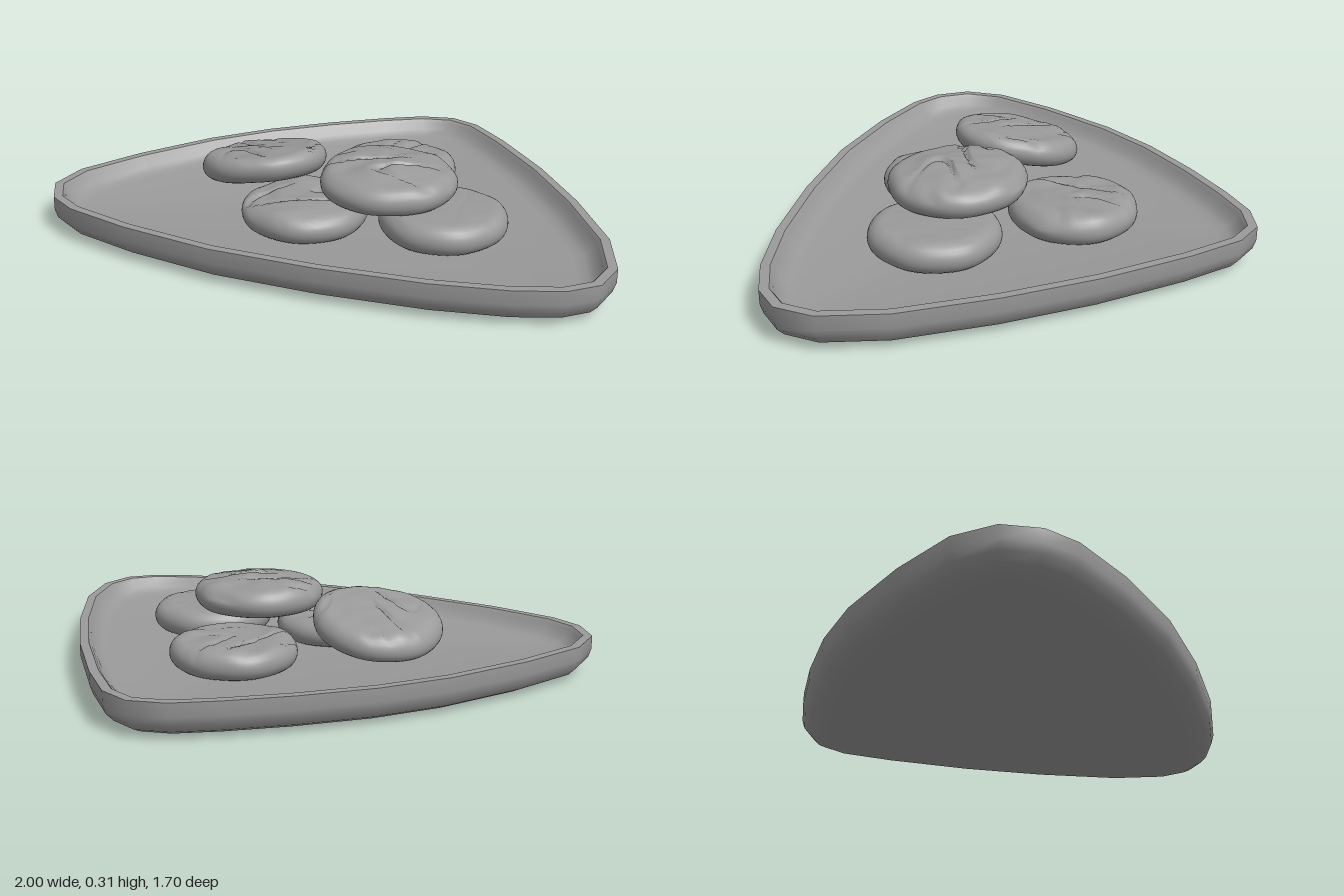
import * as THREE from 'three';
import { mergeVertices, toCreasedNormals } from 'three/addons/utils/BufferGeometryUtils.js';

const material = new THREE.MeshStandardMaterial({ color: 0x9a9a9a });

// Rounded-triangle outline of the tray, as (x, z)
const outline = [
  [-1, -0.03], [-0.93, -0.18], [-0.73, -0.36], [-0.46, -0.55], [-0.22, -0.67], [0.04, -0.76],
  [0.27, -0.82], [0.44, -0.85], [0.575, -0.83], [0.67, -0.74], [0.76, -0.54], [0.87, -0.22],
  [0.95, 0.11], [1, 0.45], [0.98, 0.68], [0.905, 0.8], [0.79, 0.845], [0.62, 0.845],
  [0.36, 0.8], [0, 0.695], [-0.36, 0.555], [-0.67, 0.38], [-0.89, 0.22], [-0.975, 0.11],
].map(([x, z]) => new THREE.Vector2(x, z));

// Moves the outline inwards by a distance, mitred at each corner
function insetOutline(distance) {
  const n = outline.length;
  const inward = (a, b) => {
    const t = b.clone().sub(a).normalize();
    return new THREE.Vector2(-t.y, t.x);
  };
  return outline.map((p, i) => {
    const n1 = inward(outline[(i + n - 1) % n], p);
    const n2 = inward(p, outline[(i + 1) % n]);
    const m = n1.clone().add(n2).normalize();
    return p.clone().addScaledVector(m, distance / m.dot(n1));
  });
}

function createTray() {
  // Wall section as (inset, height); null closes the section at the middle
  const section = [
    [null, 0], [0.11, 0], [0.07, 0.007], [0.035, 0.025], [0.01, 0.052], [0, 0.085], [0, 0.135],
    [0.032, 0.135], [0.042, 0.122], [0.056, 0.095], [0.085, 0.077], [0.12, 0.07], [null, 0.07],
  ];
  const n = outline.length;
  const positions = [];
  const index = [];
  section.forEach(([inset, y], j) => {
    const ring = inset === null ? outline.map(() => new THREE.Vector2(0.2, 0)) : insetOutline(inset);
    ring.forEach((p) => positions.push(p.x, y, p.y));
    if (j === 0) return;
    for (let i = 0; i < n; i++) {
      const a = (j - 1) * n + i;
      const b = (j - 1) * n + (i + 1) % n;
      if (section[j - 1][0] !== null) index.push(a, a + n, b);
      if (inset !== null) index.push(b, a + n, b + n);
    }
  });
  const geometry = new THREE.BufferGeometry();
  geometry.setAttribute('position', new THREE.Float32BufferAttribute(positions, 3));
  geometry.setIndex(index);
  const tray = new THREE.Mesh(toCreasedNormals(geometry, 0.8), material);
  tray.name = 'tray';
  return tray;
}

// Lumpy top: swells, small dimples and a few winding cracks, turned by the seed
function lumps(px, pz, seed) {
  const x = px * Math.cos(seed) - pz * Math.sin(seed);
  const z = px * Math.sin(seed) + pz * Math.cos(seed);
  const swell = Math.sin(11 * x + seed + 1.5 * Math.sin(13 * z + seed)) * Math.cos(14 * z - 2 * seed);
  const dimple = Math.sin(31 * x + 2 * Math.sin(17 * z + seed)) * Math.sin(27 * z + 2 * Math.sin(19 * x));
  const winding = Math.sin(9 * x + 8 * z + seed * 3 + 2.2 * Math.sin(15 * z - 11 * x + seed));
  const fade = Math.sin(16 * x - 13 * z + seed * 5) * 0.5 + 0.5;
  const crack = Math.max(0, 1 - Math.abs(winding) * 2.5) * fade;
  return 0.008 * swell + 0.003 * dimple - 0.018 * crack;
}

function createCookie({ name, x, y, z, radius, height, seed, dome = 0.008, bump = 1, slopeX = 0, slopeZ = 0 }) {
  const h = height / 2;
  const flat = radius - h;
  const profile = [new THREE.Vector2(0, -h), new THREE.Vector2(flat * 0.6, -h)];
  for (let i = 0; i <= 12; i++) {
    const a = -Math.PI / 2 + (i / 12) * Math.PI;
    profile.push(new THREE.Vector2(flat + h * Math.cos(a), h * Math.sin(a)));
  }
  for (let i = 19; i >= 0; i--) {
    profile.push(new THREE.Vector2((flat * i) / 20, h + dome * (1 - (i / 20) ** 2)));
  }
  let geometry = new THREE.LatheGeometry(profile, 64);
  geometry.deleteAttribute('uv');
  geometry.deleteAttribute('normal');
  geometry = mergeVertices(geometry, 1e-4);
  const p = geometry.attributes.position;
  for (let i = 0; i < p.count; i++) {
    const px = p.getX(i), py = p.getY(i), pz = p.getZ(i);
    const a = Math.atan2(pz, px);
    const wobble = 1 + 0.01 * Math.sin(3 * a + seed) + 0.007 * Math.sin(7 * a + seed * 2);
    const top = THREE.MathUtils.smoothstep(py, -h * 0.2, h);
    p.setXYZ(i, px * wobble,
      py + top * bump * lumps(px, pz, seed) + slopeX * px + slopeZ * pz, pz * wobble);
  }
  geometry.computeVertexNormals();
  const cookie = new THREE.Mesh(geometry, material);
  cookie.position.set(x, y, z);
  cookie.name = name;
  return cookie;
}

export function createModel() {
  const group = new THREE.Group();
  group.name = 'cookieTray';
  group.add(createTray());

  // Three cookies on the floor, one leaning on the pile, one on top
  const cookies = [
    { name: 'backCookie', x: 0.303, y: 0.122, z: -0.243, radius: 0.23, height: 0.104, seed: 1.3 },
    { name: 'frontRightCookie', x: -0.045, y: 0.122, z: 0.175, radius: 0.23, height: 0.104, seed: 4.1 },
    { name: 'frontLeftCookie', x: 0.448, y: 0.125, z: 0.265, radius: 0.23, height: 0.11, seed: 2.2,
      dome: 0.004, bump: 0.2 },
    { name: 'leaningCookie', x: -0.205, y: 0.2, z: -0.12, radius: 0.237, height: 0.104, seed: 5.6,
      bump: 0.7, slopeX: 0.1, slopeZ: 0.18 },
    { name: 'topCookie', x: 0.255, y: 0.235, z: 0.165, radius: 0.247, height: 0.104, seed: 0.4,
      dome: 0.016, slopeZ: -0.02 },
  ];
  cookies.forEach((c) => group.add(createCookie(c)));
  return group;
}
